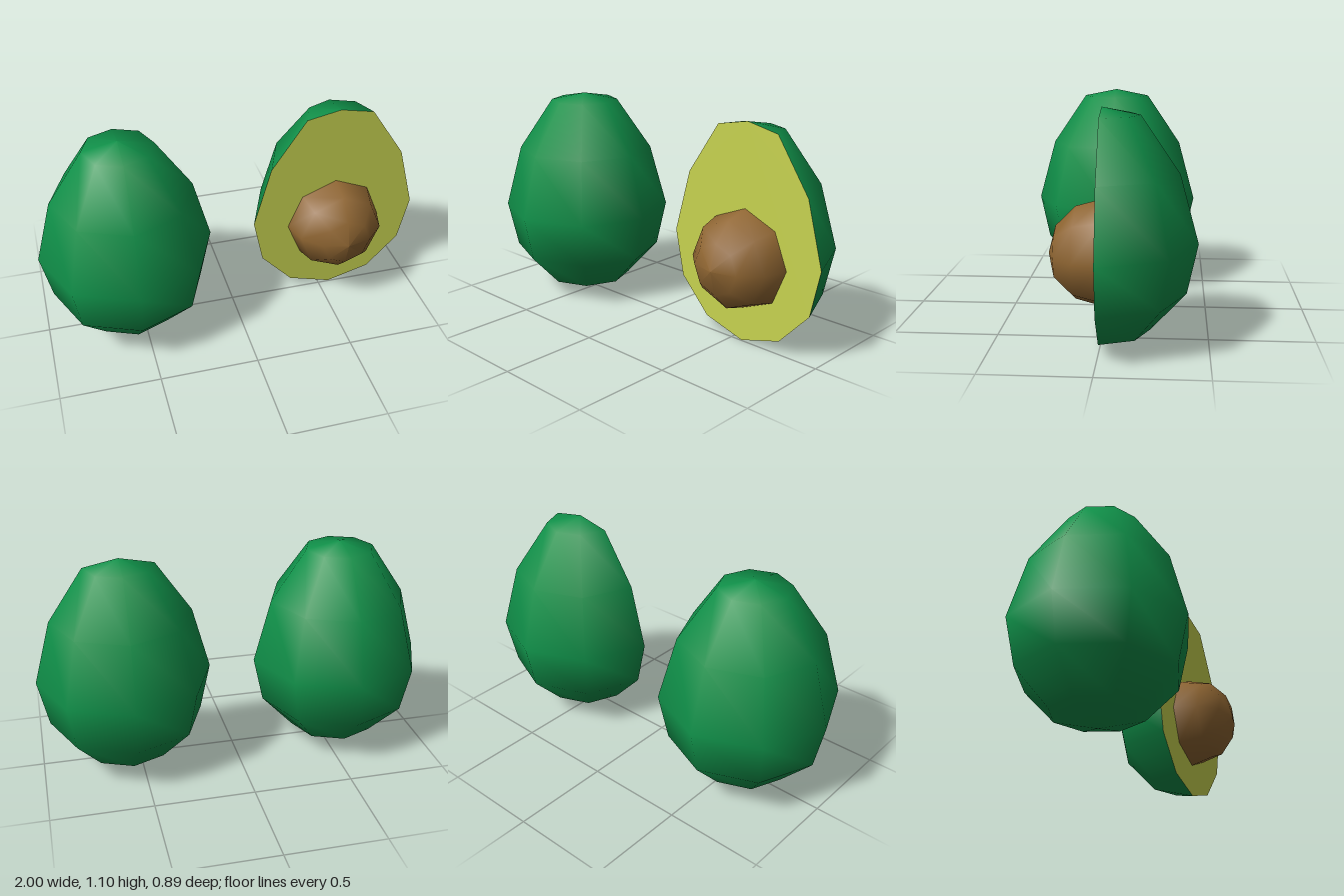
import * as THREE from 'three';

const material = (name, color, side = THREE.FrontSide) => {
  const m = new THREE.MeshStandardMaterial({ color, side });
  m.name = name;
  return m;
};

export function createModel() {
  const skin = material('green skin', 0x109049);
  const flesh = material('yellow flesh', 0xc8d350);
  const stone = material('brown stone', 0x906632);

  const group = new THREE.Group();
  group.name = 'avocados';
  const add = (name, geometry, mat, parent) => {
    const mesh = new THREE.Mesh(geometry, mat);
    mesh.name = name;
    parent.add(mesh);
    return mesh;
  };

  // Pear-shaped profile, bottom to top
  const profile = [
    [0, 0], [0.225, 0.065], [0.39, 0.24], [0.441, 0.475],
    [0.354, 0.796], [0.175, 1.06], [0, 1.095],
  ].map(([r, y]) => new THREE.Vector2(r, y));

  // Whole fruit
  const whole = add('wholeFruit', new THREE.LatheGeometry(profile, 8), skin, group);
  whole.position.x = -0.559;

  // Half fruit: rear half of the same shell, closed by the cut face
  const half = new THREE.Group();
  half.name = 'halfFruit';
  half.position.set(0.559, 0, -0.004);
  group.add(half);
  add('halfSkin', new THREE.LatheGeometry(profile, 4, Math.PI / 2, Math.PI), skin, half);

  const mirrored = profile.slice(1, -1).reverse().map(p => new THREE.Vector2(-p.x, p.y));
  add('cutFace', new THREE.ShapeGeometry(new THREE.Shape([...profile, ...mirrored])), flesh, half);

  // Stone: low-poly dome bulging out of the cut face
  const dome = [[0.252, 0], [0.219, 0.121], [0.127, 0.212], [0, 0.245]]
    .map(([r, y]) => new THREE.Vector2(r, y));
  const pit = add('stone', new THREE.LatheGeometry(dome, 8), stone, half);
  pit.rotation.x = Math.PI / 2;
  pit.position.y = 0.425;

  return group;
}
